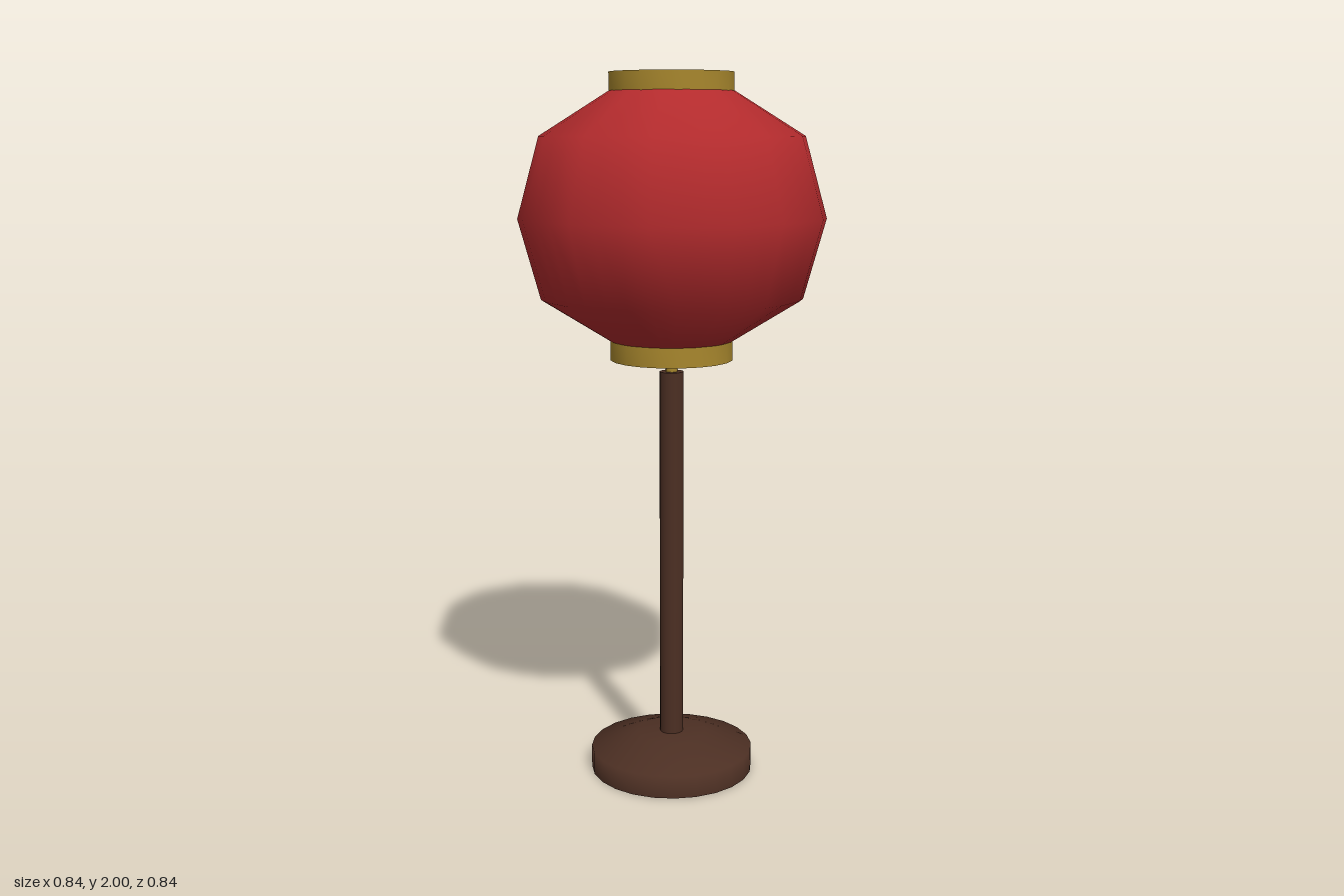
import * as THREE from 'three';
import { mergeVertices, toCreasedNormals } from 'three/addons/utils/BufferGeometryUtils.js';

const material = (color) => new THREE.MeshStandardMaterial({ color, side: THREE.DoubleSide });
const lathe = (points, sides) =>
  new THREE.LatheGeometry(points.map(([r, y]) => new THREE.Vector2(r, y)), sides);

// Faceted lantern profile, pleated around with a shallow valley at every third side
function shadeGeometry() {
  const geometry = lathe([[0.17, 1.27], [0.36, 1.39], [0.42, 1.61], [0.36, 1.83], [0.17, 1.95]], 36);
  const p = geometry.attributes.position;
  for (let i = 0; i < p.count; i++) {
    const angle = Math.atan2(p.getX(i), p.getZ(i));
    const swell = 1.01 - 0.01 * Math.cos(12 * angle);
    p.setX(i, p.getX(i) * swell);
    p.setZ(i, p.getZ(i) * swell);
  }
  // Weld the seam so the pleats shade smoothly all round
  geometry.deleteAttribute('uv');
  geometry.deleteAttribute('normal');
  const welded = mergeVertices(geometry, 1e-4);
  welded.computeVertexNormals();
  return welded;
}

export function createModel() {
  const model = new THREE.Group();
  model.name = 'lanternLamp';
  const red = material(0xb32b2d);
  const gold = material(0xa8872d);
  const wood = material(0x4c2f23);

  const add = (name, geometry, mat) => {
    const mesh = new THREE.Mesh(geometry, mat);
    mesh.name = name;
    model.add(mesh);
    return mesh;
  };
  const rod = (name, radius, bottom, top, sides, mat) => {
    const geometry = new THREE.CylinderGeometry(radius, radius, top - bottom, sides);
    add(name, geometry, mat).position.y = (bottom + top) / 2;
  };

  // Hollow foot, open underneath
  add('base', lathe([[0.235, 0], [0.235, 0.065], [0.1, 0.11], [0, 0.11]], 24), wood);

  // Pole and the thin stem that carries the lantern
  rod('pole', 0.034, 0.085, 1.18, 16, wood);
  rod('stem', 0.017, 1.17, 1.27, 10, gold);

  add('lanternShade', shadeGeometry(), red);

  // Collars: closed on top, open below
  for (const [name, bottom, top] of [['lowerCollar', 1.215, 1.27], ['upperCollar', 1.947, 2]]) {
    const collar = lathe([[0.172, bottom], [0.172, top], [0, top]], 20);
    add(name, toCreasedNormals(collar, 0.7), gold);
  }

  return model;
}
